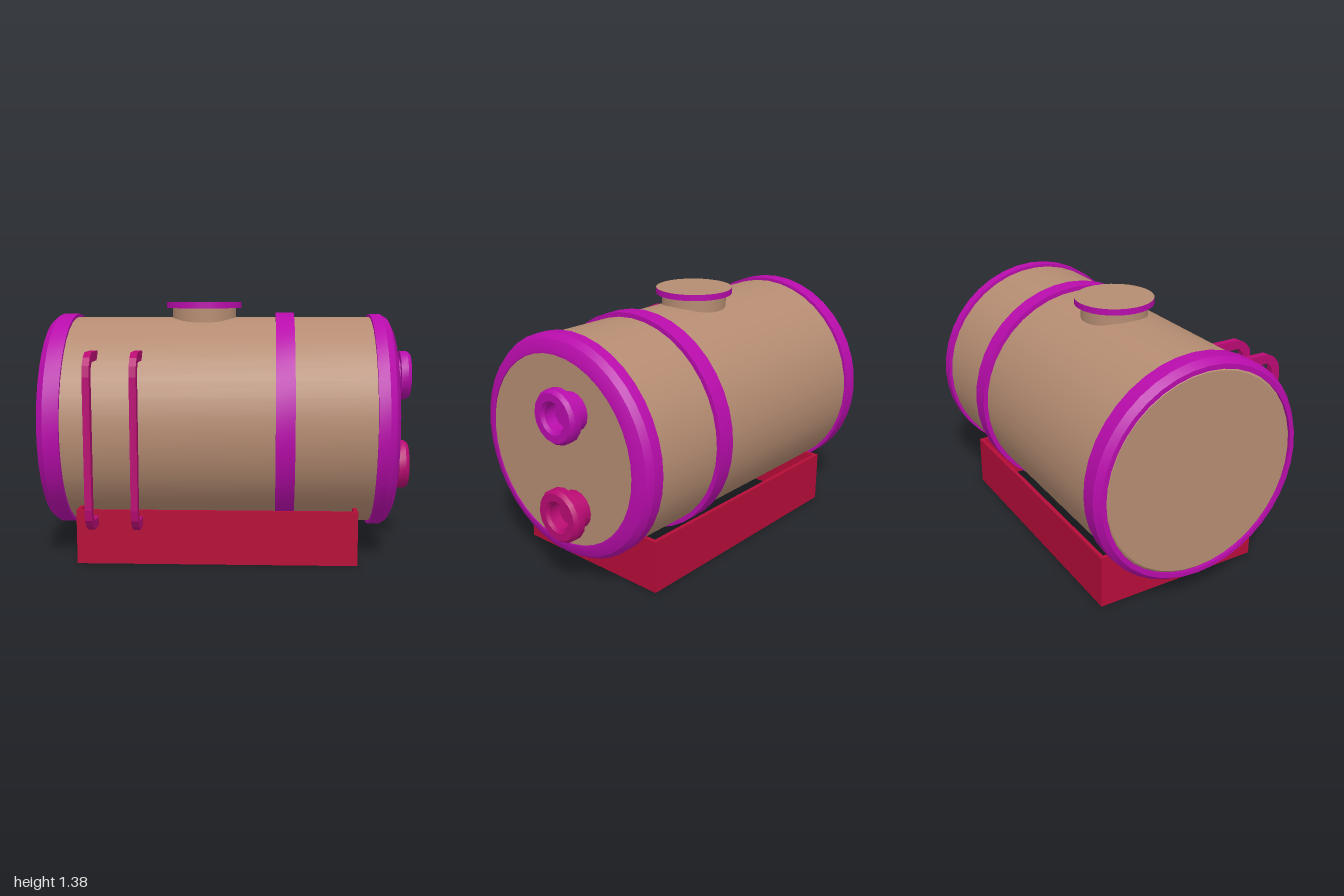
import * as THREE from 'three';
import { toCreasedNormals } from 'three/addons/utils/BufferGeometryUtils.js';

const AXIS_Y = 0.72, AXIS_Z = -0.035;
const material = (color) => new THREE.MeshStandardMaterial({ color });

export function createModel() {
  const root = new THREE.Group();
  const tan = material(0xb58c72);
  const purple = material(0xb80cab);
  const magenta = material(0xb80a72);
  const red = material(0xb50c38);

  const add = (name, geometry, mat, x, y, z) => {
    const mesh = new THREE.Mesh(geometry, mat);
    mesh.name = name;
    mesh.position.set(x, y, z);
    root.add(mesh);
    return mesh;
  };
  // Profile points are [radius, position along the axis]
  const turned = (profile, sides) => toCreasedNormals(
    new THREE.LatheGeometry(profile.map(([r, h]) => new THREE.Vector2(r, h)), sides), 0.5);
  const turnedAlongX = (profile, sides) => turned(profile, sides).rotateZ(-Math.PI / 2);

  // Horizontal tank with closed ends
  add('tank', turnedAlongX([
    [0, -0.993], [0.53, -0.993], [0.575, -0.95], [0.575, 0.8], [0.5, 0.864], [0, 0.864],
  ], 40), tan, 0, AXIS_Y, AXIS_Z);

  // Hoops around the tank
  const hoops = {
    leftHoop: [[0.565, -0.88], [0.54, -0.99], [0.54, -1], [0.565, -1], [0.592, -0.965], [0.592, -0.88], [0.565, -0.88]],
    middleHoop: [[0.565, 0.23], [0.6, 0.23], [0.6, 0.33], [0.565, 0.33], [0.565, 0.23]],
    rightHoop: [[0.56, 0.75], [0.592, 0.75], [0.592, 0.81], [0.57, 0.845], [0.52, 0.87], [0.5, 0.87], [0.5, 0.85], [0.56, 0.75]],
  };
  for (const [name, profile] of Object.entries(hoops)) {
    add(name, turnedAlongX(profile, 40), purple, 0, AXIS_Y, AXIS_Z);
  }

  // Filler hatch on top: neck, rim and lid
  add('hatchNeck', new THREE.CylinderGeometry(0.177, 0.177, 0.13, 28), tan, -0.17, 1.285, AXIS_Z);
  add('hatchRim', new THREE.CylinderGeometry(0.21, 0.21, 0.033, 28, 1, true), purple, -0.17, 1.3615, AXIS_Z);
  add('hatchUnderside', new THREE.CircleGeometry(0.21, 28).rotateX(Math.PI / 2), purple, -0.17, 1.345, AXIS_Z);
  add('hatchLid', new THREE.CircleGeometry(0.21, 28).rotateX(-Math.PI / 2), tan, -0.17, 1.378, AXIS_Z);

  // Hollow flanged outlets on the right end
  const outlet = [
    [0.1, 0.855], [0.1, 0.94], [0.14, 0.94], [0.14, 0.98], [0.125, 1],
    [0.085, 1], [0.07, 0.985], [0.07, 0.92], [0, 0.92],
  ];
  add('upperOutlet', turnedAlongX(outlet, 16), purple, 0, 0.96, -0.148);
  add('lowerOutlet', turnedAlongX(outlet, 16), magenta, 0, 0.44, -0.148);

  // Two bent bar handles on the front, drawn in the (z, y) plane
  const MID = 0.67;
  const outer = [[0.38, 1.13], [0.54, 1.13], [0.59, 1.105], [0.62, 1.065], [0.63, 1.01]];
  const inner = [[0.58, 1.01], [0.573, 1.05], [0.545, 1.08], [0.38, 1.08]];
  const lower = ([z, y]) => [Math.max(z, 0.4), 2 * MID - y];
  const outline = [
    ...outer, ...outer.map(lower).reverse(),
    ...inner.map(lower).reverse(), ...inner,
  ].map(([z, y]) => new THREE.Vector2(z, y));
  const handle = new THREE.ExtrudeGeometry(new THREE.Shape(outline), { depth: 0.036, bevelEnabled: false })
    .translate(0, 0, -0.018).rotateY(-Math.PI / 2);
  [-0.72, -0.485].forEach((x, i) => add(`handle${i + 1}`, handle, magenta, x, 0, 0));

  // Open base frame of four thin planks
  const X0 = -0.82, X1 = 0.665, Z0 = -0.495, Z1 = 0.445, H = 0.29, T = 0.022;
  const midX = (X0 + X1) / 2, midZ = (Z0 + Z1) / 2;
  const longPlank = new THREE.BoxGeometry(X1 - X0, H, T);
  const endPlank = new THREE.BoxGeometry(T, H, Z1 - Z0 - 2 * T);
  add('frontPlank', longPlank, red, midX, H / 2, Z1 - T / 2);
  add('backPlank', longPlank, red, midX, H / 2, Z0 + T / 2);
  add('leftPlank', endPlank, red, X0 + T / 2, H / 2, midZ);
  add('rightPlank', endPlank, red, X1 - T / 2, H / 2, midZ);

  return root;
}
